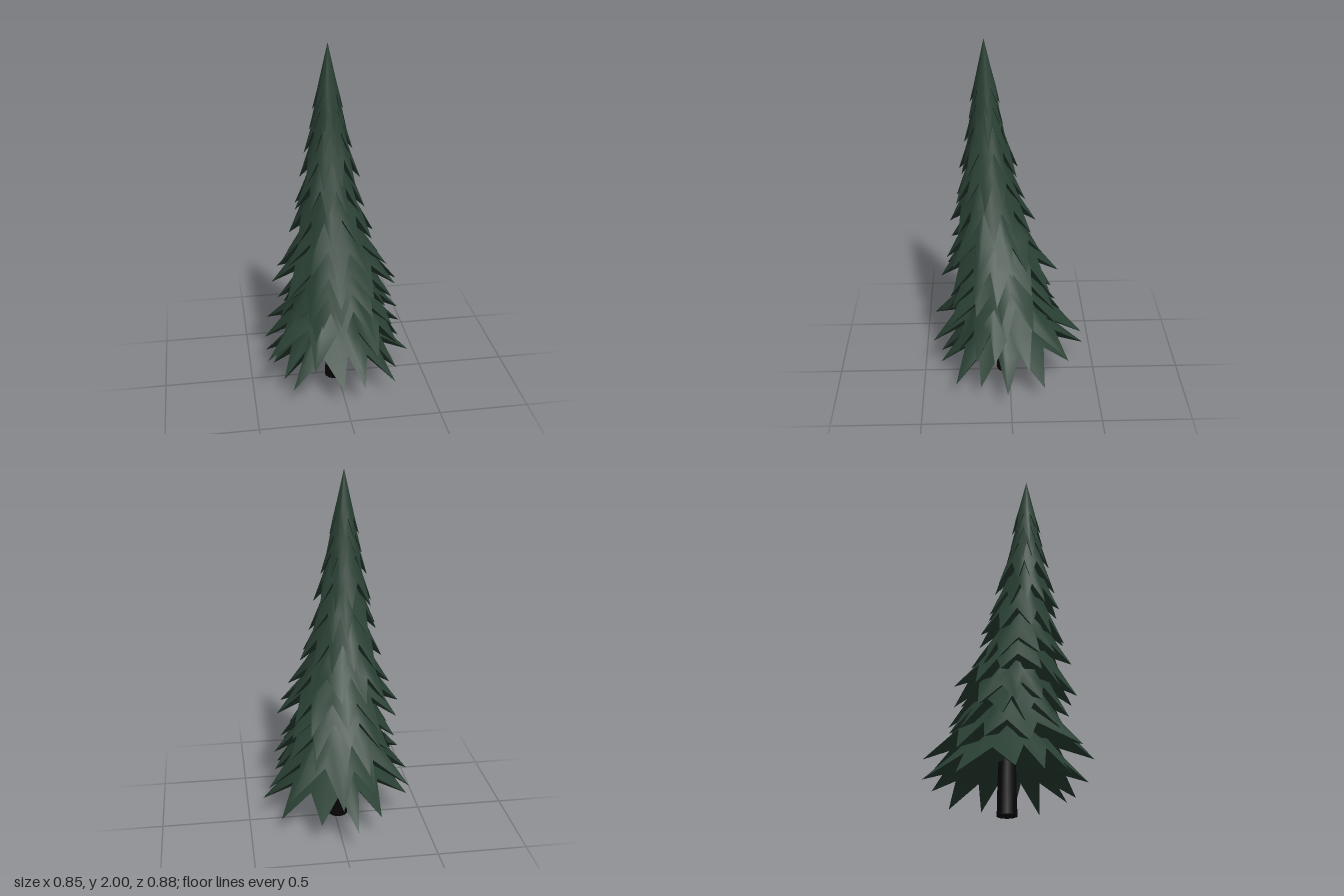
import * as THREE from 'three';

// small seeded random
let seed = 7;
const rand = () => {
  seed = (seed * 16807) % 2147483647;
  return seed / 2147483647;
};
const jitter = (a) => (rand() * 2 - 1) * a;

// the leaning, slightly curved axis of the tree
const axis = new THREE.CatmullRomCurve3([
  [-0.02, 0, 0.02], [-0.012, 0.3, 0.025], [-0.018, 0.6, 0.05], [-0.055, 0.95, 0.1], [-0.062, 1.4, 0.12], [-0.067, 2, 0.13],
].map((p) => new THREE.Vector3(...p)));
function axisAt(y) {
  let lo = 0, hi = 1;
  for (let i = 0; i < 24; i++) {
    const m = (lo + hi) / 2;
    if (axis.getPoint(m).y < y) lo = m; else hi = m;
  }
  return axis.getPoint(lo);
}

// wide branch tips of the two lowest tiers, as x, z going round
const LOWEST = [[0.42, 0.02], [0.32, 0.17], [0.285, 0.31], [0.1, 0.4], [-0.02, 0.4], [-0.295, 0.355], [-0.335, 0.26],
  [-0.38, 0.09], [-0.41, -0.07], [-0.22, -0.31], [-0.07, -0.44], [0.12, -0.34], [0.33, -0.19]];
const SECOND = [[0.34, 0.09], [0.32, 0.19], [0.19, 0.3], [0.075, 0.44], [-0.185, 0.44], [-0.425, 0.275],
  [-0.42, 0], [-0.39, -0.22], [-0.19, -0.3], [0.01, -0.42], [0.29, -0.31], [0.39, -0.1]];

// tip height, tip radius, top height, number of tips, fixed tips
const TIERS = [
  [0.125, 0.42, 0.62, 13, LOWEST],
  [0.27, 0.42, 0.78, 12, SECOND],
  [0.41, 0.365, 0.9, 12],
  [0.52, 0.335, 1.0, 11],
  [0.64, 0.355, 1.12, 12],
  [0.78, 0.3, 1.24, 11],
  [0.94, 0.25, 1.42, 11],
  [1.11, 0.205, 1.58, 11],
  [1.27, 0.175, 1.74, 10],
  [1.43, 0.13, 1.86, 10],
  [1.55, 0.105, 1.93, 9],
  [1.65, 0.085, 2, 9],
];

// one jagged skirt: rows from the top ring down to a zigzag hem, closed underneath
function tierGeometry([tipY, tipR, topY, count, fixed]) {
  const c = axisAt(tipY), top = axisAt(topY);
  const turn = rand() * Math.PI * 2;
  const tips = fixed
    ? fixed.map(([x, z]) => new THREE.Vector3(x, tipY - x * 0.04 + jitter(0.02), z))
    : Array.from({ length: count }, (_, i) => {
      const a = turn + (i + jitter(0.22)) / count * Math.PI * 2;
      const r = tipR * (0.93 + jitter(0.08));
      return new THREE.Vector3(c.x + Math.cos(a) * r, tipY + jitter(tipR * 0.09), c.z + Math.sin(a) * r);
    });
  const rise = (topY - tipY) * 0.29;
  const hem = [];
  tips.forEach((t, i) => {
    const n = tips[(i + 1) % tips.length];
    const notch = t.clone().add(n).multiplyScalar(0.5);
    const dx = notch.x - c.x, dz = notch.z - c.z;
    const k = tipR * (0.64 + jitter(0.05)) / Math.hypot(dx, dz);
    notch.set(c.x + dx * k, notch.y + rise, c.z + dz * k);
    hem.push(t, notch);
  });

  const n = hem.length, pos = [], index = [];
  const topRadius = topY > 1.95 ? 0.0005 : 0.015;
  const rows = [0, 0.36, 0.7, 1];
  rows.forEach((f) => hem.forEach((h) => {
    const a = Math.atan2(h.z - c.z, h.x - c.x);
    const s = new THREE.Vector3(top.x + Math.cos(a) * topRadius, topY, top.z + Math.sin(a) * topRadius);
    const p = s.lerp(h, f);
    // pull the middle inward a little so the boughs flare
    const pull = 1 - 0.16 * f * (1 - f);
    const ax = axisAt(p.y);
    pos.push(ax.x + (p.x - ax.x) * pull, p.y, ax.z + (p.z - ax.z) * pull);
  }));
  for (let r = 0; r < rows.length - 1; r++) {
    for (let i = 0; i < n; i++) {
      const a = r * n + i, b = r * n + (i + 1) % n;
      index.push(a, b, a + n, b, b + n, a + n);
    }
  }
  // underside fan with its own hem points, so the rim stays sharp
  const start = rows.length * n;
  hem.forEach((h) => pos.push(h.x, h.y, h.z));
  pos.push(c.x, tipY + rise * 1.2, c.z);
  for (let i = 0; i < n; i++) index.push(start + i, start + (i + 1) % n, start + n);

  const g = new THREE.BufferGeometry();
  g.setAttribute('position', new THREE.Float32BufferAttribute(pos, 3));
  g.setIndex(index);
  g.computeVertexNormals();
  return g;
}

// tapering trunk that follows the axis up into the foliage
function trunkGeometry() {
  const height = 0.6;
  const g = new THREE.CylinderGeometry(0.04, 0.055, height, 10, 4);
  g.translate(0, height / 2, 0);
  const p = g.attributes.position;
  for (let i = 0; i < p.count; i++) {
    const a = axisAt(p.getY(i));
    p.setX(i, p.getX(i) + a.x);
    p.setZ(i, p.getZ(i) + a.z);
  }
  g.computeVertexNormals();
  return g;
}

export function createModel() {
  seed = 7;
  const needles = new THREE.MeshStandardMaterial({ color: 0x2a4034, side: THREE.DoubleSide });
  needles.name = 'needle green';
  const bark = new THREE.MeshStandardMaterial({ color: 0x040404 });
  bark.name = 'dark bark';

  const tree = new THREE.Group();
  tree.name = 'firTree';
  const trunk = new THREE.Mesh(trunkGeometry(), bark);
  trunk.name = 'trunk';
  tree.add(trunk);

  const foliage = new THREE.Group();
  foliage.name = 'foliage';
  TIERS.forEach((tier, i) => {
    const mesh = new THREE.Mesh(tierGeometry(tier), needles);
    mesh.name = `branchTier${i + 1}`;
    foliage.add(mesh);
  });
  tree.add(foliage);
  return tree;
}
